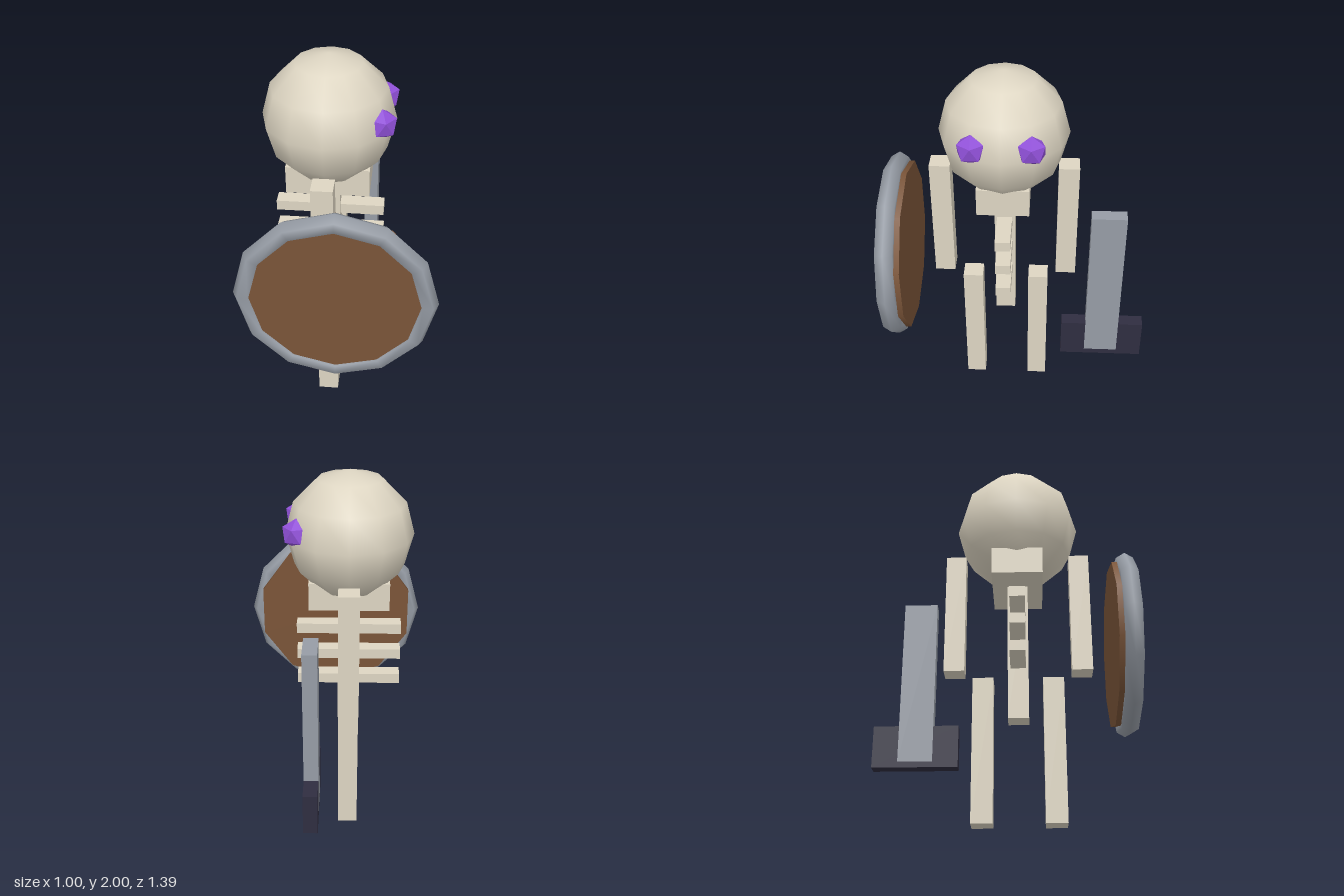
import * as THREE from 'three';

const mat = (name, color) => Object.assign(new THREE.MeshStandardMaterial({ color }), { name });

export function createModel() {
  const bone = mat('bone', 0xddd5c2);
  const gem = mat('violet gem', 0x9050d8);
  const wood = mat('brown wood', 0x7a5438);
  const steel = mat('grey steel', 0x969ca5);
  const dark = mat('dark guard', 0x2f2d40);

  const model = new THREE.Group();
  model.name = 'skeletonWarrior';

  const add = (name, geometry, material, x, y, z, parent = model) => {
    const mesh = new THREE.Mesh(geometry, material);
    mesh.name = name;
    mesh.position.set(x, y, z);
    parent.add(mesh);
    return mesh;
  };
  const box = (name, material, size, x, y, z, parent) =>
    add(name, new THREE.BoxGeometry(...size), material, x, y, z, parent);

  // Body axis: the skeleton looks along +x
  const cx = -0.08, cz = 0.075, w = 0.108;

  // Skull
  add('skull', new THREE.SphereGeometry(0.332, 12, 6), bone, cx, 1.668, cz);

  // Gem eyes, one corner pointing up
  const eye = new THREE.IcosahedronGeometry(0.077, 0);
  eye.rotateZ(-Math.atan(2 / (1 + Math.sqrt(5))));

  // Paired parts
  for (const [side, s] of [['left', -1], ['right', 1]]) {
    add(side + 'Eye', eye, gem, 0.185, 1.715, cz + s * 0.145);
    box(side + 'Arm', bone, [w, 0.68, w], cx, 1.138, cz + s * 0.334);
    box(side + 'Leg', bone, [w, 0.757, w], cx, 0.3785, cz + s * 0.182);
  }

  // Shoulders, spine and ribs
  box('shoulders', bone, [0.42, 0.15, 0.27], cx, 1.365, cz);
  box('spine', bone, [w, 0.755, w], cx, 0.9125, cz);
  for (let i = 0; i < 3; i++) {
    box('rib' + (i + 1), bone, [0.56, 0.056, 0.08], cx, 1.14 - i * 0.152, cz);
  }

  // Sword
  const sword = new THREE.Group();
  sword.name = 'sword';
  model.add(sword);
  box('guard', dark, [0.074, 0.226, 0.45], 0.105, 0.457, -0.47, sword);
  box('blade', steel, [0.075, 0.915, 0.182], 0.105, 0.8325, -0.47, sword);

  // Shield: a wooden disc held in a metal rim
  const shield = new THREE.Group();
  shield.name = 'shield';
  shield.position.set(0, 0.99, 0.648);
  model.add(shield);
  add('shieldRim', new THREE.TorusGeometry(0.447, 0.052, 6, 12), steel, 0, 0, 0, shield);
  const disc = new THREE.CylinderGeometry(0.453, 0.453, 0.11, 10).rotateX(Math.PI / 2);
  add('shieldDisc', disc, wood, 0, 0, -0.018, shield);

  return model;
}
